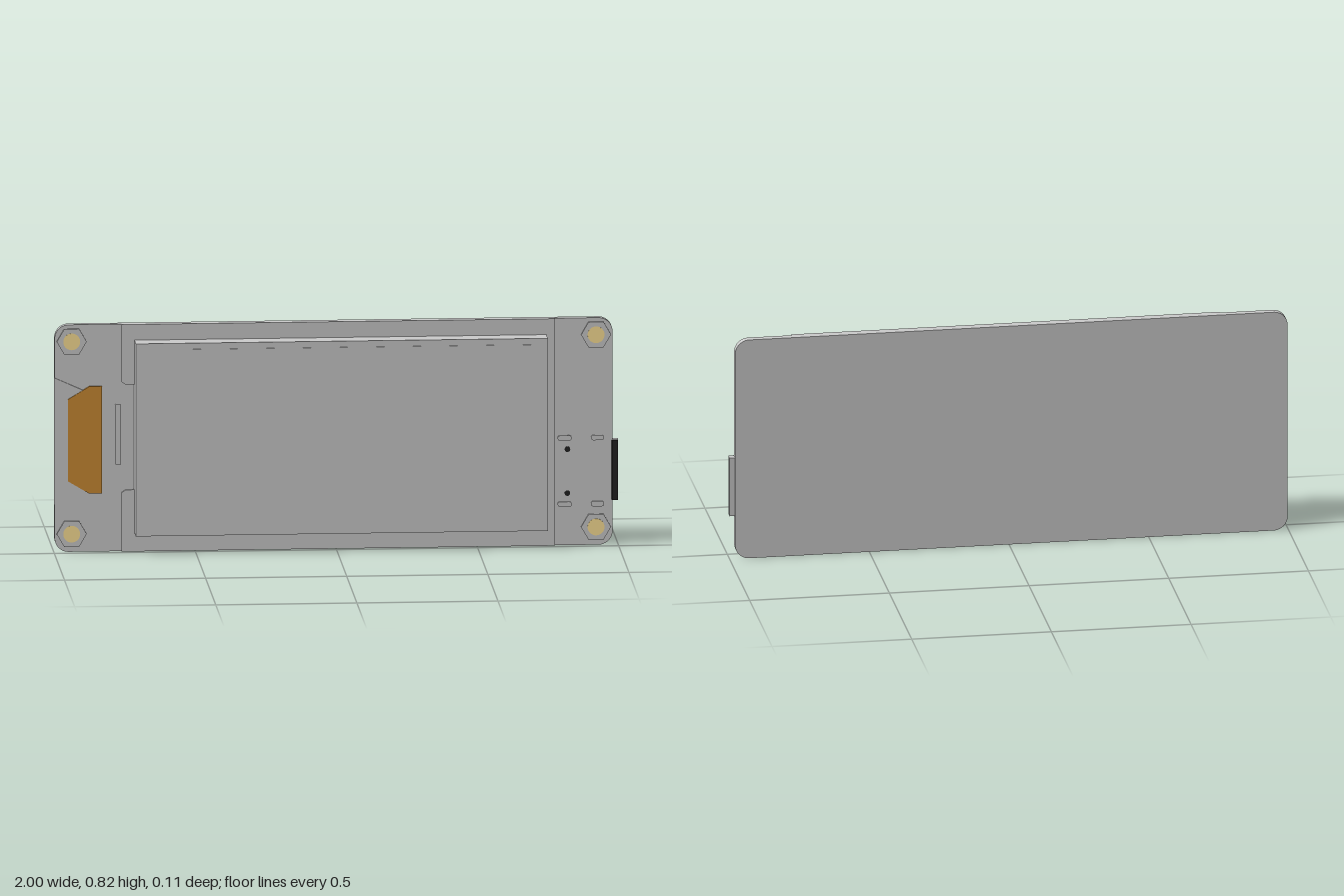
import * as THREE from 'three';

const material = (color) => new THREE.MeshStandardMaterial({ color });
const grey = material(0xcccccc);
const amber = material(0xcc8c33);
const gold = material(0xffe397);
const black = material(0x222222);

const BACK = -0.053, BOARD = -0.027, RAISED = -0.018;

export function createModel() {
  const model = new THREE.Group();

  function add(name, geometry, mat = grey) {
    const mesh = new THREE.Mesh(geometry, mat);
    mesh.name = name;
    model.add(mesh);
    return mesh;
  }

  // Solid slab from a front outline, between two depths
  function slab(name, shape, z0, z1, mat) {
    const geometry = new THREE.ExtrudeGeometry(shape, { depth: z1 - z0, bevelEnabled: false, curveSegments: 8 });
    return add(name, geometry.translate(0, 0, z0), mat);
  }

  function box(name, x0, x1, y0, y1, z0, z1, mat) {
    const mesh = add(name, new THREE.BoxGeometry(x1 - x0, y1 - y0, z1 - z0), mat);
    mesh.position.set((x0 + x1) / 2, (y0 + y1) / 2, (z0 + z1) / 2);
    return mesh;
  }

  // Disc or prism facing the front
  function disc(name, x, y, r, sides, z0, z1, mat) {
    const geometry = new THREE.CylinderGeometry(r, r, z1 - z0, sides).rotateX(Math.PI / 2);
    const mesh = add(name, sides < 8 ? geometry.rotateZ(Math.PI / 2) : geometry, mat);
    mesh.position.set(x, y, (z0 + z1) / 2);
    return mesh;
  }

  const polygon = (points) => new THREE.Shape(points.map(([x, y]) => new THREE.Vector2(x, y)));

  function roundedRect(x0, x1, y0, y1, r) {
    const s = new THREE.Shape();
    s.absarc(x1 - r, y0 + r, r, -Math.PI / 2, 0);
    s.absarc(x1 - r, y1 - r, r, 0, Math.PI / 2);
    s.absarc(x0 + r, y1 - r, r, Math.PI / 2, Math.PI);
    s.absarc(x0 + r, y0 + r, r, Math.PI, Math.PI * 1.5);
    s.closePath();
    return s;
  }

  // Circuit board
  slab('board', roundedRect(-0.997, 0.98, 0, 0.817, 0.05), BACK, BOARD);

  // Display carrier, notched on the cable side
  slab('displayFrame', polygon([
    [-0.76, 0], [0.775, 0], [0.775, 0.817], [-0.76, 0.817],
    [-0.76, 0.61], [-0.745, 0.6], [-0.715, 0.6],
    [-0.715, 0.222], [-0.745, 0.222], [-0.76, 0.212],
  ]), BOARD, RAISED);

  // Display body and its active area
  box('displayBody', -0.715, 0.745, 0.067, 0.76, RAISED, 0.051);
  box('screen', -0.61, 0.72, 0.092, 0.738, 0.05, 0.053);

  // Ribbon cable and its amber stiffener
  slab('ribbonCable', polygon([
    [-1, 0.172], [-0.9, 0.217], [-0.84, 0.217], [-0.84, 0.583], [-0.9, 0.583], [-1, 0.628],
  ]), BOARD - 0.001, -0.022);
  slab('ribbonStiffener', polygon([
    [-0.875, 0.21], [-0.83, 0.21], [-0.83, 0.595], [-0.875, 0.595], [-0.95, 0.55], [-0.95, 0.255],
  ]), BOARD, RAISED, amber);
  slab('ribbonSlot', roundedRect(-0.783, -0.762, 0.312, 0.53, 0.004), BOARD, -0.021);

  // Hexagonal nuts with gold screw centres
  for (const x of [-0.937, 0.921]) {
    for (const y of [0.065, 0.757]) {
      disc('nut', x, y, 0.053, 6, BOARD, RAISED - 0.001);
      disc('screw', x, y, 0.03, 32, BOARD, RAISED, gold);
    }
  }

  // Side port with shell tabs and locating pegs
  box('portShell', 0.975, 1, 0.16, 0.378, -0.051, -0.025);
  box('portFace', 0.977, 0.999, 0.162, 0.376, -0.025, RAISED, black);
  for (const y of [0.148, 0.386]) {
    for (const [x0, x1] of [[0.785, 0.835], [0.903, 0.95]]) {
      slab('portTab', roundedRect(x0, x1, y - 0.009, y + 0.009, 0.0085), BOARD, -0.02);
    }
  }
  for (const y of [0.187, 0.345]) disc('portPeg', 0.82, y, 0.01, 20, BOARD, -0.025, black);

  return model;
}
